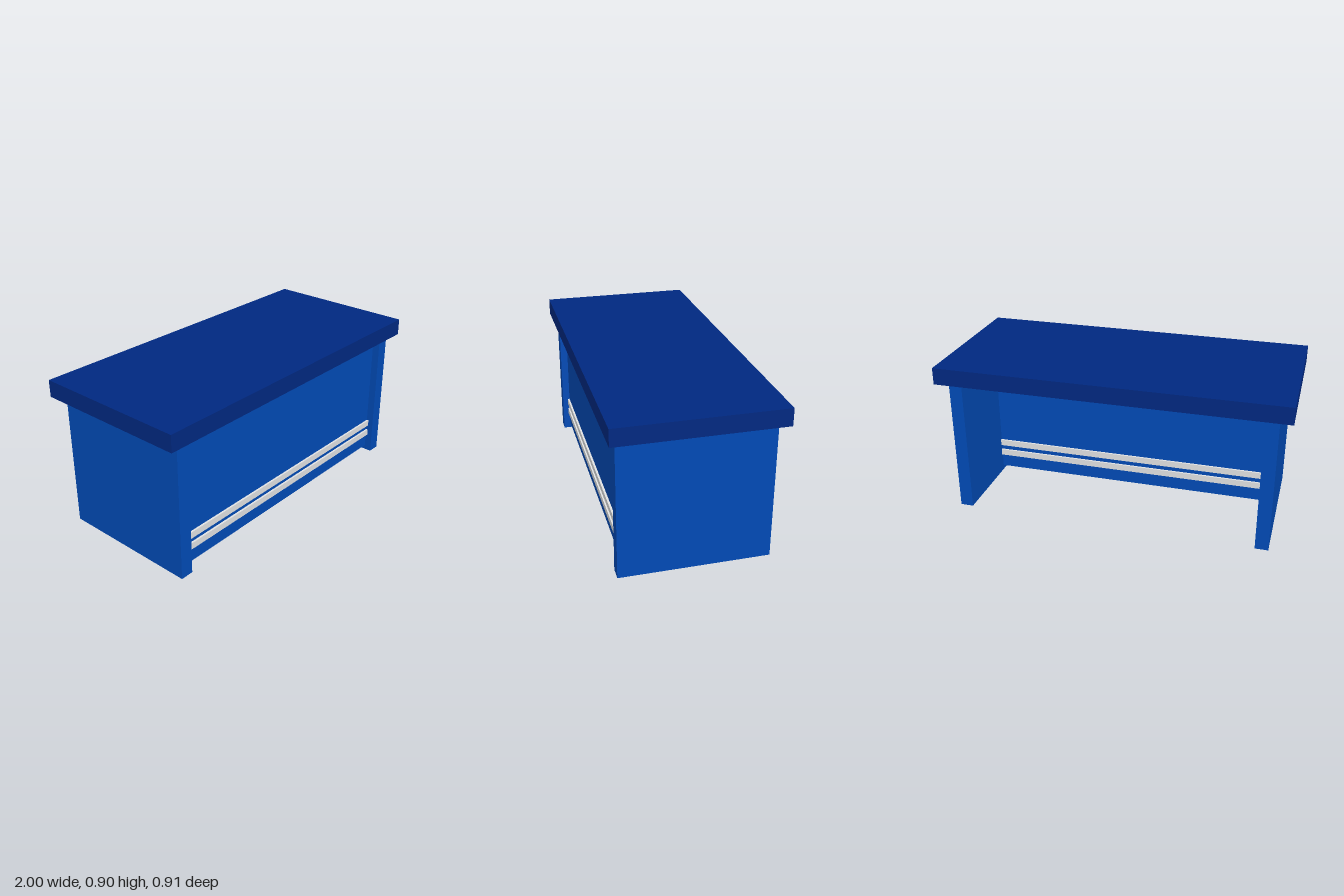
import * as THREE from 'three';

const topBlue = new THREE.MeshStandardMaterial({ color: 0x002880 });
topBlue.name = 'navy top';
const bodyBlue = new THREE.MeshStandardMaterial({ color: 0x004ab5 });
bodyBlue.name = 'body blue';
const trimGrey = new THREE.MeshStandardMaterial({ color: 0xe0e1e2 });
trimGrey.name = 'trim grey';

// Box given by its [min, max] extent along each axis
function block(name, material, [x0, x1], [y0, y1], [z0, z1]) {
  const mesh = new THREE.Mesh(new THREE.BoxGeometry(x1 - x0, y1 - y0, z1 - z0), material);
  mesh.name = name;
  mesh.position.set((x0 + x1) / 2, (y0 + y1) / 2, (z0 + z1) / 2);
  return mesh;
}

export function createModel() {
  const desk = new THREE.Group();
  desk.name = 'desk';

  // Overhanging worktop
  desk.add(block('worktop', topBlue, [-1, 1], [0.8, 0.898], [-0.457, 0.457]));

  // Full-depth side panels
  desk.add(block('leftSide', bodyBlue, [0.852, 0.928], [0, 0.8], [-0.417, 0.417]));
  desk.add(block('rightSide', bodyBlue, [-0.928, -0.852], [0, 0.8], [-0.417, 0.417]));

  // Deep front body, hung clear of the floor and the worktop
  const inner = [-0.852, 0.852];
  desk.add(block('frontBody', bodyBlue, inner, [0.028, 0.741], [0.06, 0.373]));

  // Two trim strips, standing slightly proud at front and back
  for (const y of [0.131, 0.2]) {
    desk.add(block('trimStrip', trimGrey, inner, [y - 0.019, y + 0.019], [0.048, 0.385]));
  }
  return desk;
}
